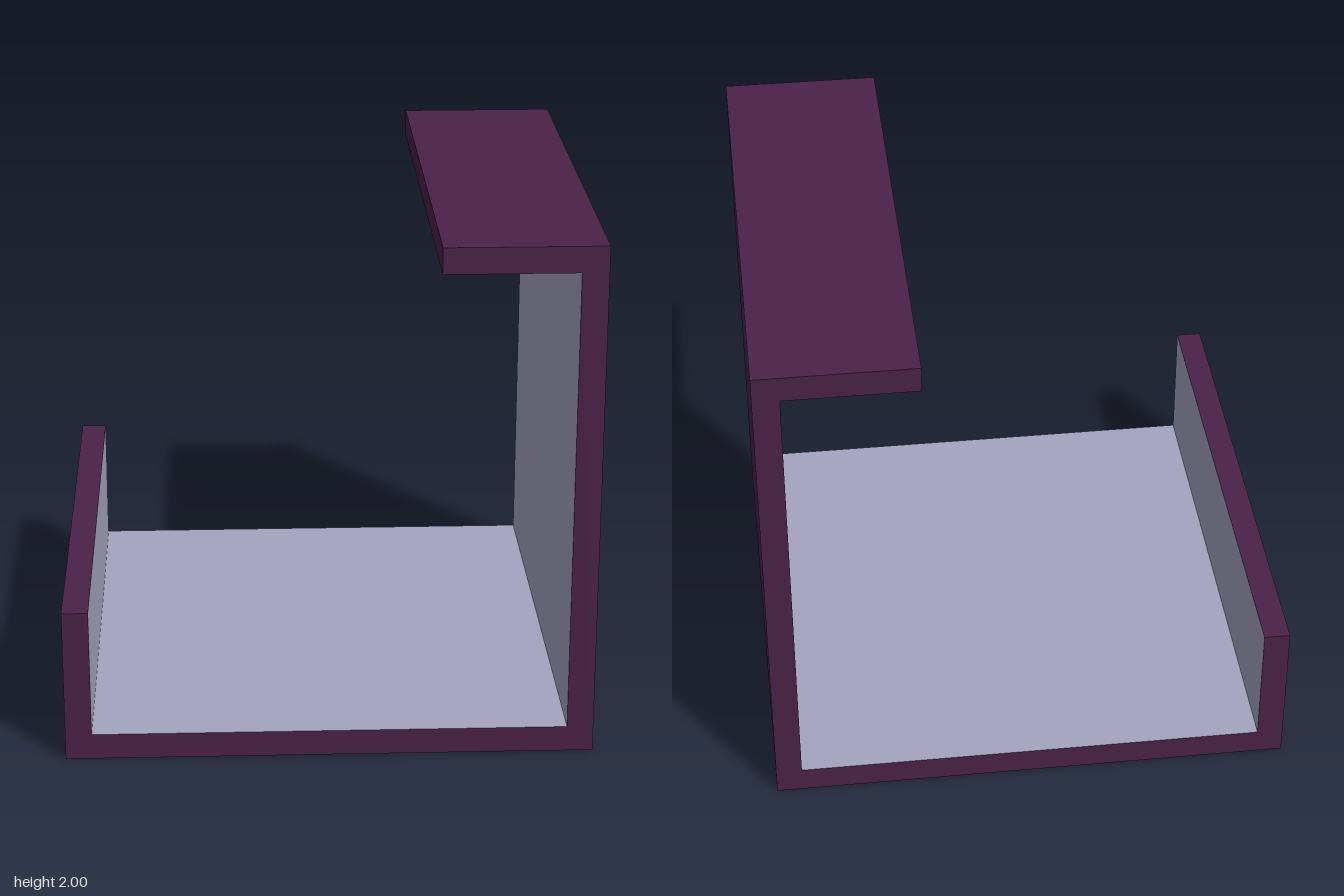
import * as THREE from 'three';

const HALF = 1, WALL = 0.1, HEIGHT = 2, LIP = 0.6, ROOF_EDGE = 0.4;

export function createModel() {
  const plum = new THREE.MeshStandardMaterial({ color: 0x4b2149 });
  plum.name = 'plum';
  const lavender = new THREE.MeshStandardMaterial({ color: 0xa4a4c0 });
  lavender.name = 'lavender grey';

  const inner = HALF - WALL, ceiling = HEIGHT - WALL;

  // Cross-section: low lip, floor, tall wall and short roof in one bent strip
  const profile = new THREE.Shape([
    [-HALF, 0], [HALF, 0], [HALF, HEIGHT], [ROOF_EDGE, HEIGHT], [ROOF_EDGE, ceiling],
    [inner, ceiling], [inner, WALL], [-inner, WALL], [-inner, LIP], [-HALF, LIP],
  ].map(([x, y]) => new THREE.Vector2(x, y)));
  const geometry = new THREE.ExtrudeGeometry(profile, { depth: 2 * HALF, bevelEnabled: false });
  geometry.translate(0, 0, -HALF);

  // Lavender on the faces lining the inside, plum on everything else
  const pos = geometry.attributes.position, nor = geometry.attributes.normal, e = 1e-4;
  geometry.clearGroups();
  for (let i = 0; i < pos.count; i += 3) {
    const x = (pos.getX(i) + pos.getX(i + 1) + pos.getX(i + 2)) / 3;
    const y = (pos.getY(i) + pos.getY(i + 1) + pos.getY(i + 2)) / 3;
    const lining = Math.abs(nor.getZ(i)) < 0.5 && Math.abs(x) < inner + e && y > WALL - e && y < ceiling + e;
    geometry.addGroup(i, 3, lining ? 1 : 0);
  }

  const shell = new THREE.Mesh(geometry, [plum, lavender]);
  shell.name = 'openShell';

  const model = new THREE.Group();
  model.name = 'openBoxShelf';
  model.add(shell);
  return model;
}
